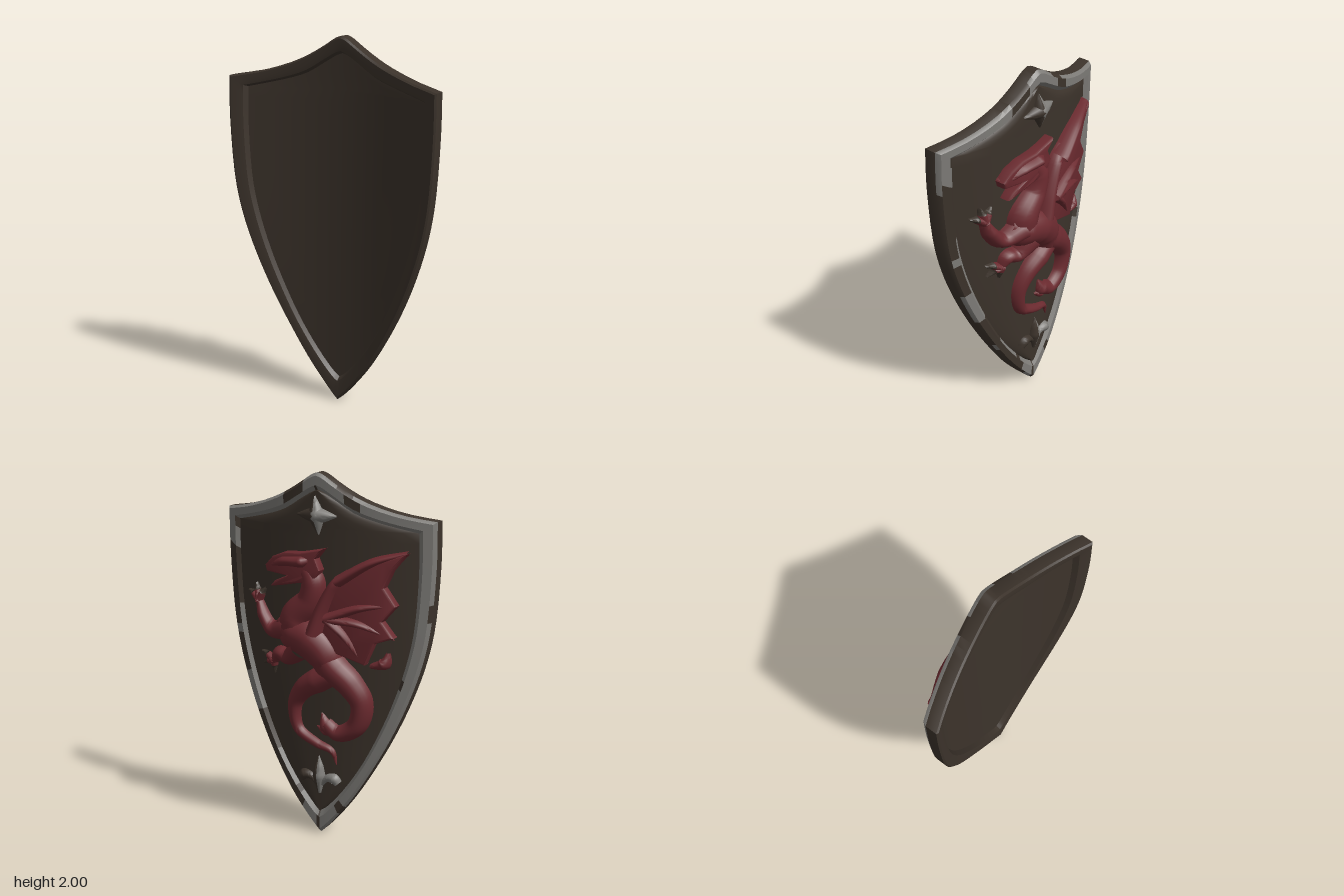
import * as THREE from 'three';
import { toCreasedNormals } from 'three/addons/utils/BufferGeometryUtils.js';

const mat = (name, color, side = THREE.FrontSide) => {
  const m = new THREE.MeshStandardMaterial({ color, side });
  m.name = name;
  return m;
};

// Skin a list of point rows; pick(i, j) gives the material index of each quad.
function loft(rows, closed, pick, crease) {
  const buckets = [[], []];
  for (let i = 0; i < rows.length - 1; i++) {
    const n = rows[i].length;
    for (let j = 0; j < (closed ? n : n - 1); j++) {
      const k = (j + 1) % n;
      const a = rows[i][j], b = rows[i][k], c = rows[i + 1][k], d = rows[i + 1][j];
      buckets[pick ? pick(i, j) : 0].push(...a, ...b, ...c, ...a, ...c, ...d);
    }
  }
  const geo = new THREE.BufferGeometry();
  geo.setAttribute('position', new THREE.Float32BufferAttribute(buckets.flat(), 3));
  const n0 = buckets[0].length / 3;
  geo.addGroup(0, n0, 0);
  if (buckets[1].length) geo.addGroup(n0, buckets[1].length / 3, 1);
  return toCreasedNormals(geo, crease);
}

const spline = (pts, n) =>
  new THREE.CatmullRomCurve3(pts.map(([x, y]) => new THREE.Vector3(x, y, 0)), false, 'centripetal').getPoints(n);

// Full symmetric outline from the top edge and the side edge of one half.
function outline(top, side) {
  const half = [...spline(top, 14), ...spline(side, 34).slice(1)].map(p => [p.x, p.y]);
  return [...half, ...half.slice(1, -1).reverse().map(([x, y]) => [-x, y])];
}

const shieldZ = (x, y, depth) => 0.07 - 0.02 * y + 0.33 * x * x - depth;
// Height of the back face, in the turned frame where the back looks along +z.
const skin = (x, y) => -shieldZ(x, y, 0.086);

// Rounded relief following a path on the back face.
function limb(pts, radii, lift = 1, pick = null) {
  const n = pts.length * 6, path = spline(pts, n), rows = [];
  path.forEach((p, i) => {
    const t = path[Math.min(i + 1, n)].clone().sub(path[Math.max(i - 1, 0)]).normalize();
    const f = (i / n) * (radii.length - 1), k = Math.min(Math.floor(f), radii.length - 2);
    const r = THREE.MathUtils.lerp(radii[k], radii[k + 1], f - k);
    const row = [];
    for (let s = 0; s <= 10; s++) {
      const a = (s / 10) * Math.PI, o = -Math.cos(a) * r;
      const x = p.x + t.y * o, y = p.y - t.x * o;
      row.push([x, y, skin(x, y) - 0.012 + Math.sin(a) * (r * lift + 0.012)]);
    }
    rows.push(row);
  });
  return loft(rows, false, pick, 1.2);
}

// Flat relief cut from a contour and bent onto the back face.
function plate(pts, height) {
  const shape = new THREE.Shape(pts.map(([x, y]) => new THREE.Vector2(x, y)));
  const geo = new THREE.ExtrudeGeometry(shape, {
    depth: height, bevelEnabled: true, bevelThickness: 0.015, bevelSize: 0.012, bevelOffset: -0.012, bevelSegments: 2,
  });
  const p = geo.attributes.position;
  for (let i = 0; i < p.count; i++) p.setZ(i, p.getZ(i) + skin(p.getX(i), p.getY(i)) - 0.01);
  geo.clearGroups();
  return toCreasedNormals(geo, 0.7);
}

export function createModel() {
  const brown = mat('dark brown', 0x3c332b);
  const steel = mat('worn steel', 0x7e7c78);
  const red = mat('deep red', 0x6b2a2f, THREE.DoubleSide);
  const model = new THREE.Group();
  model.name = 'shield';
  const add = (parent, name, geo, material) => {
    const mesh = new THREE.Mesh(geo, material);
    mesh.name = name;
    parent.add(mesh);
  };

  // Shield body: rings run from the front middle over the rim to the back middle
  const outer = outline(
    [[0, 2], [0.03, 1.99], [0.1, 1.945], [0.2, 1.888], [0.3, 1.845], [0.45, 1.8], [0.615, 1.77]],
    [[0.615, 1.77], [0.615, 1.55], [0.59, 1.2], [0.55, 1], [0.485, 0.8], [0.4, 0.6], [0.295, 0.4], [0.17, 0.2], [0.04, 0.04], [0, 0]]);
  const inner = outline(
    [[0, 1.91], [0.03, 1.9], [0.1, 1.86], [0.2, 1.8], [0.3, 1.765], [0.42, 1.735], [0.53, 1.71]],
    [[0.53, 1.71], [0.53, 1.5], [0.51, 1.2], [0.475, 1.02], [0.415, 0.82], [0.335, 0.62], [0.235, 0.42], [0.12, 0.25], [0.03, 0.15], [0, 0.13]]);
  // [inset from outer to inner, width factor, depth]
  const rings = [
    [1, 0, 0.03], [1, 0.25, 0.03], [1, 0.5, 0.03], [1, 0.75, 0.03], [1, 1, 0.03],
    [0.85, 1, 0.004], [0.6, 1, 0], [0.12, 1, 0], [0, 1, 0.01], [0, 1, 0.072], [0.18, 1, 0.092], [0.72, 1, 0.092],
    [1, 1, 0.07], [1, 0.85, 0.08], [1, 0.6, 0.086], [1, 0.3, 0.086], [1, 0, 0.086],
  ];
  const rows = rings.map(([t, f, d]) => outer.map(([ox, oy], j) => {
    const x = (ox + (inner[j][0] - ox) * t) * f, y = oy + (inner[j][1] - oy) * t;
    return [x, y, shieldZ(x, y, d)];
  }));
  // Bare steel shows on the back of the rim, in patches on the left edge
  const worn = (i, j) => {
    if (i < 9 || i > 11) return 0;
    const noise = Math.sin(j * 0.9) + Math.sin(j * 0.37 + i);
    const limit = j < 14 ? -0.9 : j < 48 ? (i === 11 ? -0.3 : 0.45) : -1.6;
    return noise > limit ? 1 : 0;
  };
  add(model, 'shieldBody', loft(rows, true, worn, 0.6), [brown, steel]);

  // Everything on the back is built facing +z, then turned round
  const back = new THREE.Group();
  back.name = 'backRelief';
  back.rotation.y = Math.PI;
  model.add(back);

  // Four-pointed star and three-leaf ornament, tarnished brown on one side
  const tarnish = (i, j) => (j < 5 ? 1 : 0);
  const petal = [0.006, 0.03, 0.05, 0.03, 0.006];
  add(back, 'starUpright', limb([[0.01, 1.68], [0, 1.78], [-0.01, 1.88]], petal, 1, tarnish), [steel, brown]);
  add(back, 'starCross', limb([[-0.115, 1.78], [0, 1.78], [0.115, 1.78]], petal, 1, i => (i < 8 ? 1 : 0)), [steel, brown]);
  add(back, 'middleLeaf', limb([[0, 0.24], [0, 0.34], [0, 0.46]], [0.012, 0.026, 0.04, 0.028, 0.003], 1, tarnish), [steel, brown]);
  for (const s of [-1, 1]) {
    add(back, 'sideLeaf', limb([[0, 0.28], [s * 0.045, 0.33], [s * 0.09, 0.335], [s * 0.115, 0.31]], [0.015, 0.022, 0.034, 0.024]),
      s < 0 ? brown : steel);
  }

  // Winged beast
  const beast = new THREE.Group();
  beast.name = 'wingedBeast';
  back.add(beast);
  const wing = [[-0.02, 1.1], [0.03, 1.27], [0.12, 1.45], [0.26, 1.55], [0.38, 1.575], [0.49, 1.61], [0.42, 1.52], [0.38, 1.43],
    [0.44, 1.335], [0.37, 1.25], [0.43, 1.165], [0.33, 1.13], [0.28, 1.01], [0.12, 1.06]];
  add(beast, 'wing', plate(wing, 0.042), red);
  for (const tip of [[0.49, 1.61], [0.44, 1.335], [0.425, 1.16], [0.275, 1.01]]) {
    const start = tip[1] > 1.4 ? [0.14, 1.45] : [0.08, 1.25];
    const mid = [(start[0] + tip[0]) / 2, (start[1] + tip[1]) / 2 + 0.025];
    add(beast, 'wingFinger', limb([start, mid, tip], [0.035, 0.026, 0.012], 2.8), red);
  }
  add(beast, 'wingArm', limb([[0.0, 1.16], [0.05, 1.3], [0.12, 1.43], [0.19, 1.5]], [0.055, 0.045, 0.036, 0.02], 2), red);

  const head = [[-0.3, 1.5], [-0.25, 1.55], [-0.175, 1.58], [-0.08, 1.585], [0.06, 1.615], [0.015, 1.56], [0.04, 1.5],
    [0.0, 1.43], [-0.1, 1.42], [-0.19, 1.4], [-0.27, 1.385], [-0.24, 1.42], [-0.16, 1.455], [-0.29, 1.465]];
  add(beast, 'head', plate(head, 0.055), red);
  add(beast, 'brow', limb([[-0.29, 1.49], [-0.18, 1.53], [-0.06, 1.54], [0.01, 1.56]], [0.02, 0.036, 0.04, 0.01], 2.4), red);
  add(beast, 'neck', limb([[-0.06, 1.5], [-0.02, 1.43], [-0.04, 1.33], [-0.13, 1.22], [-0.13, 1.1]], [0.055, 0.07, 0.075, 0.095, 0.09], 1.05), red);
  add(beast, 'torso', limb([[-0.23, 1.2], [-0.15, 1.15], [-0.03, 1.11], [0.05, 1.03], [0.08, 0.94]], [0.05, 0.105, 0.115, 0.1, 0.075]), red);
  add(beast, 'haunch', limb([[0.03, 1.05], [0.1, 0.97], [0.19, 0.89], [0.25, 0.79], [0.22, 0.66], [0.12, 0.605], [0.05, 0.65]],
    [0.08, 0.085, 0.075, 0.062, 0.055, 0.048, 0.04], 1.1), red);
  add(beast, 'tail', limb([[0.1, 0.94], [0.0, 0.89], [-0.09, 0.83], [-0.145, 0.735], [-0.125, 0.6], [-0.01, 0.53], [0.08, 0.495], [0.106, 0.42]],
    [0.06, 0.07, 0.058, 0.045, 0.035, 0.028, 0.02, 0.004], 1.15), red);
  add(beast, 'tailBarb', limb([[0.13, 0.58], [0.05, 0.64], [0.02, 0.71]], [0.03, 0.045, 0.005]), red);
  add(beast, 'tailBarb', limb([[0.1, 0.62], [0.04, 0.61], [-0.01, 0.63]], [0.03, 0.03, 0.004]), red);
  add(beast, 'hindFoot', limb([[0.3, 1.0], [0.37, 1.02], [0.39, 1.08]], [0.015, 0.035, 0.01], 1.3), red);

  // Forelegs with claws
  const forelegs = [
    { path: [[-0.17, 1.16], [-0.28, 1.14], [-0.34, 1.2], [-0.38, 1.29]], claws: [[-0.46, 1.33], [-0.4, 1.38], [-0.33, 1.36]] },
    { path: [[-0.1, 1.06], [-0.18, 1.0], [-0.24, 1.01], [-0.28, 0.96]], claws: [[-0.37, 1.0], [-0.36, 0.93], [-0.28, 0.89]] },
  ];
  for (const { path, claws } of forelegs) {
    const paw = path[3];
    add(beast, 'foreleg', limb(path, [0.07, 0.052, 0.042, 0.038, 0.022], 1.5), red);
    for (const tip of claws) {
      const mid = [(paw[0] + tip[0]) / 2, (paw[1] + tip[1]) / 2 + 0.008];
      add(beast, 'toe', limb([paw, mid], [0.028, 0.02], 1.6), red);
      add(beast, 'claw', limb([mid, tip], [0.022, 0.006], 1.6), brown);
    }
  }
  return model;
}
